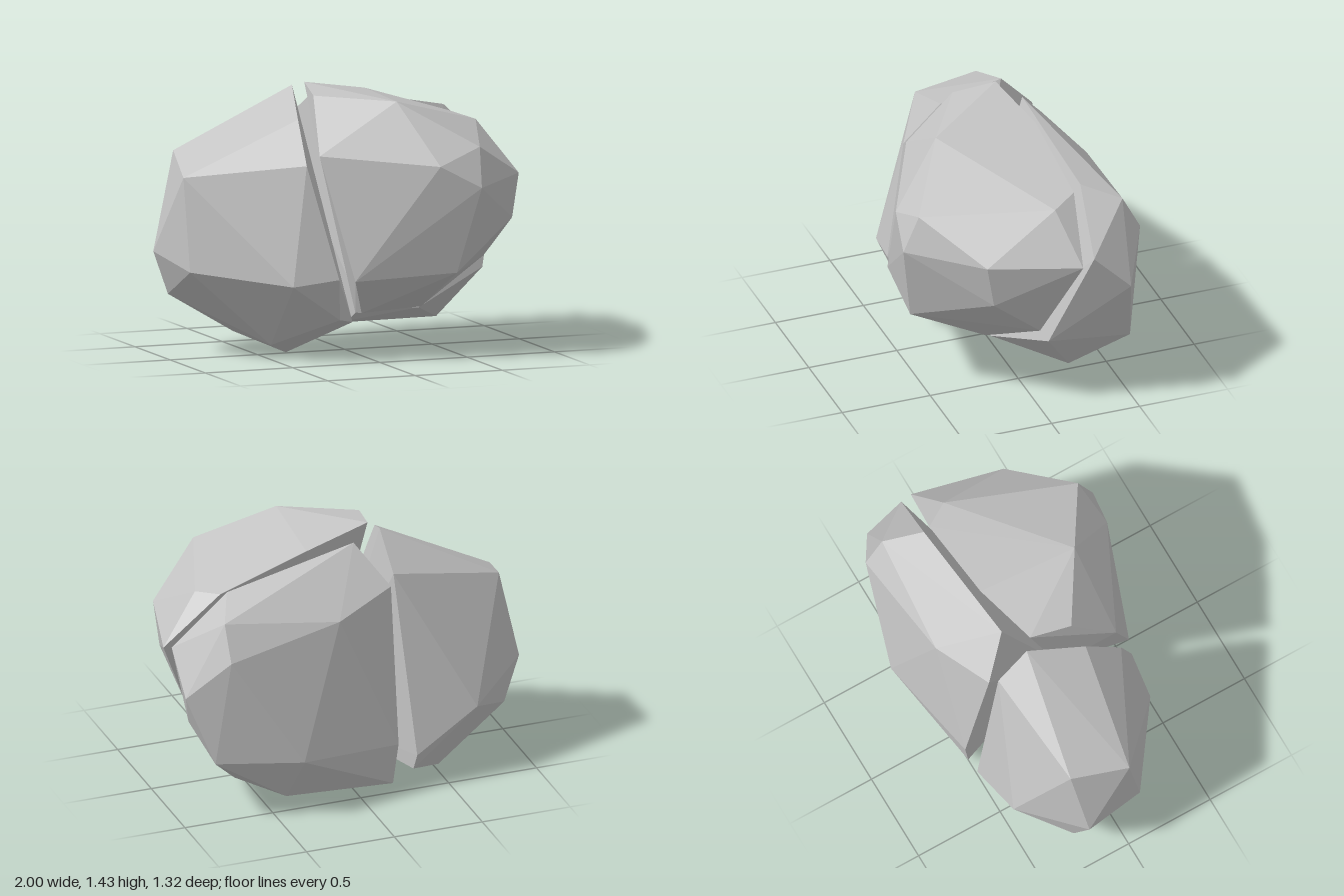
import * as THREE from 'three';
import { ConvexGeometry } from 'three/addons/geometries/ConvexGeometry.js';

// Corner points of each convex shard of the split boulder
const SHARDS = {
  rightShard: [
    // face along the crack
    [-0.23, 1.41, -0.18], [-0.32, 1.27, 0.13], [-0.35, 1.05, 0.33], [-0.22, 0.45, 0.47],
    [-0.18, 0.22, 0.38], [-0.02, 0.17, 0.16], [-0.24, 1.22, -0.36], [-0.31, 0.21, -0.53],
    // outer faces
    [-0.3, 0.12, -0.5], [-0.48, 0.07, -0.4], [-0.33, 0, -0.02], [-0.48, 0.07, 0.14], [-0.47, 0.42, 0.44],
    [-0.93, 0.48, 0.11], [-0.94, 0.98, 0.04], [-0.87, 1.08, -0.28], [-1, 0.55, -0.24],
    [-0.9, 0.31, -0.28], [-0.66, 0.43, -0.51],
  ],
  frontShard: [
    // face along the side crack
    [-0.18, 1.43, -0.13], [-0.22, 1.39, 0.1], [-0.28, 1.1, 0.34], [-0.14, 0.44, 0.5],
    [-0.03, 0.24, 0.315], [0, 0.22, 0.15],
    // face along the rear crack
    [0.2, 1.365, -0.215], [0.7, 1.21, -0.24], [1, 0.92, -0.18], [0.8, 0.46, -0.01], [0.38, 0.23, 0.14],
    // outer faces
    [0.16, 1.37, 0.34], [0.79, 1.18, -0.1], [0.87, 0.945, 0.315], [0.54, 1.14, 0.58],
    [0.52, 0.93, 0.66], [0.3, 1.05, 0.62], [0.85, 0.7, 0.27], [0.41, 0.47, 0.58],
  ],
  backShard: [
    // face along the front crack
    [-0.06, 1.38, -0.235], [0.68, 1.24, -0.285], [0.98, 0.95, -0.25], [0.81, 0.39, -0.055],
    [0.38, 0.22, 0.11], [0.04, 0.24, 0.13], [0, 0.16, 0.04],
    // side towards the right shard
    [-0.21, 1.17, -0.4], [-0.2, 0.3, -0.54], [-0.18, 0.06, -0.51],
    // outer faces
    [0.13, 1.08, -0.53], [0.77, 1.16, -0.49], [0.77, 0.97, -0.59], [0.98, 0.74, -0.46],
    [0.83, 0.35, -0.51], [0.38, 0.35, -0.66], [0.42, 0.08, -0.49], [0.62, 0.11, -0.24],
  ],
};

export function createModel() {
  const model = new THREE.Group();
  model.name = 'splitBoulder';
  const stone = new THREE.MeshStandardMaterial({ color: 0xc4c4c4, flatShading: true });
  stone.name = 'greyStone';
  for (const [name, corners] of Object.entries(SHARDS)) {
    const points = corners.map((c) => new THREE.Vector3(...c));
    const mesh = new THREE.Mesh(new ConvexGeometry(points), stone);
    mesh.name = name;
    model.add(mesh);
  }
  return model;
}
